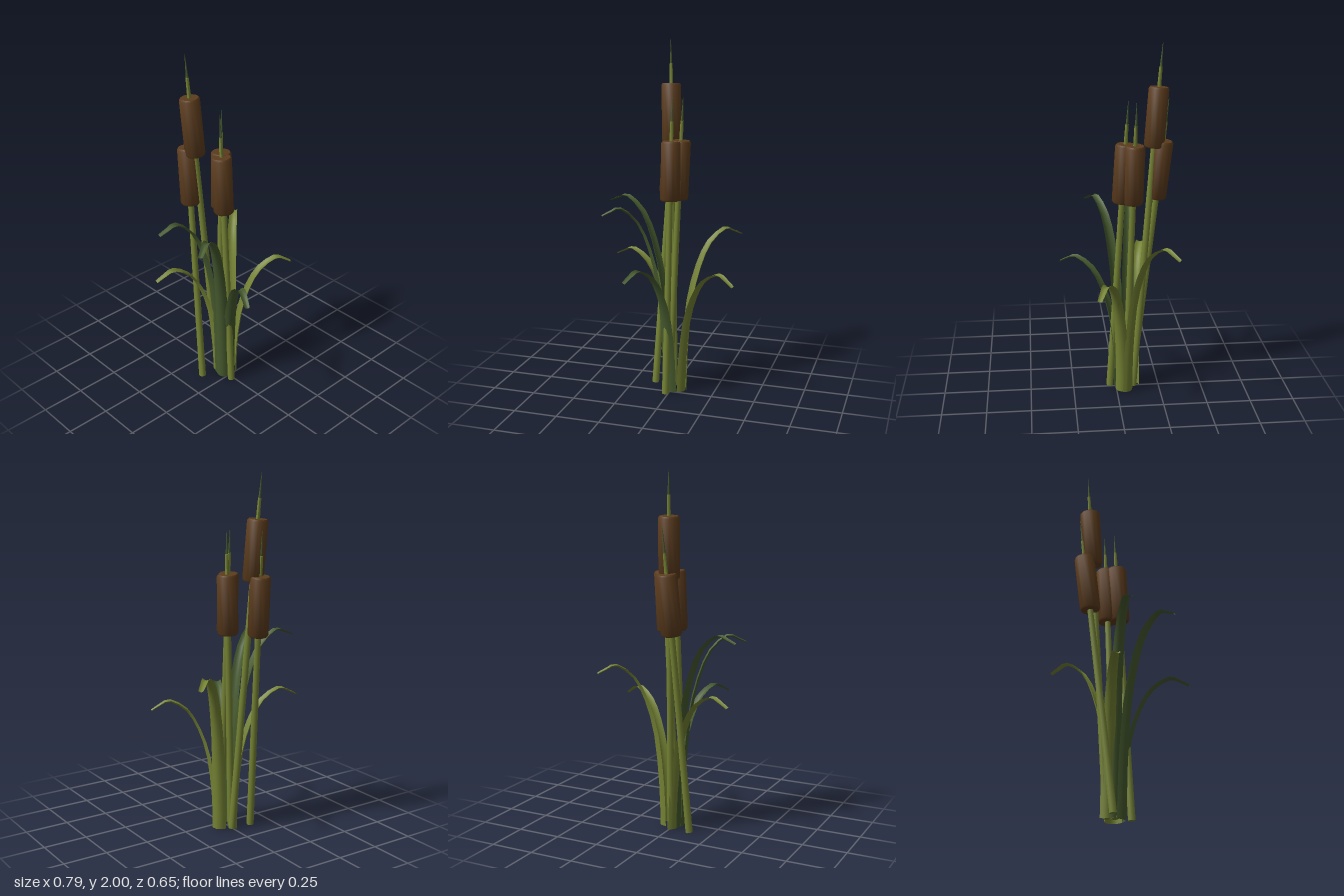
import * as THREE from 'three';
import { toCreasedNormals } from 'three/addons/utils/BufferGeometryUtils.js';

function material(name, color, side) {
  const m = new THREE.MeshStandardMaterial({ color, side });
  m.name = name;
  return m;
}
const olive = material('olive green', 0x758334, THREE.DoubleSide);
const dark = material('dark green', 0x465a2e, THREE.DoubleSide);
const brown = material('seed head brown', 0x5c3c1d, THREE.FrontSide);

const UP = new THREE.Vector3(0, 1, 0);

function lathe(name, points, sides, mat) {
  const profile = points.map(([r, y]) => new THREE.Vector2(r, y));
  const mesh = new THREE.Mesh(toCreasedNormals(new THREE.LatheGeometry(profile, sides), 0.9), mat);
  mesh.name = name;
  return mesh;
}

// A leaning stalk with a dark spike on top and a seed head below it
function createStalk(base, tip) {
  const stalk = new THREE.Group();
  stalk.name = 'cattailStalk';
  const from = new THREE.Vector3(...base);
  const axis = new THREE.Vector3(...tip).sub(from);
  const h = axis.length();
  const headTop = h - 0.24, headBottom = h - 0.572, spikeBase = h - 0.13;

  stalk.add(
    lathe('stem', [
      [0, 0], [0.021, 0], [0.017, headBottom], [0.011, headTop], [0.009, spikeBase], [0, spikeBase],
    ], 8, olive),
    lathe('spike', [[0.007, spikeBase], [0.001, h]], 8, dark),
    lathe('seedHead', [
      [0, headBottom], [0.05, headBottom], [0.057, headBottom + 0.01],
      [0.057, headTop - 0.01], [0.05, headTop], [0, headTop],
    ], 12, brown),
  );
  stalk.position.copy(from);
  stalk.quaternion.setFromUnitVectors(UP, axis.normalize());
  return stalk;
}

// Arching leaf: share of the reach, share of the peak height
const ARCH = [[0, 0], [0.02, 0.25], [0.1, 0.56], [0.25, 0.78], [0.44, 0.925], [0.7, 1]];
const ALONG = 14, ACROSS = 6;

// A leaf is a strip with a gutter-shaped cross-section, narrowing to the tip
function createLeaf([x0, z0], [x1, z1], peak, drop, mat) {
  const reach = Math.hypot(x1 - x0, z1 - z0);
  const dx = (x1 - x0) / reach, dz = (z1 - z0) / reach;
  const curve = new THREE.SplineCurve([
    ...ARCH.map(([u, v]) => new THREE.Vector2(u * reach, v * peak)),
    new THREE.Vector2(reach * 0.85, peak - drop * 0.35),
    new THREE.Vector2(reach, peak - drop),
  ]);
  const positions = [], index = [];
  for (let i = 0; i <= ALONG; i++) {
    const p = curve.getPoint(i / ALONG);
    const t = i === 0 ? new THREE.Vector2(0, 1) : curve.getTangent(i / ALONG);
    const halfWidth = THREE.MathUtils.lerp(0.04, 0.014, (p.x / reach + i / ALONG) / 2);
    for (let j = 0; j <= ACROSS; j++) {
      const s = (j / ACROSS) * 2 - 1;
      const depth = halfWidth * 0.5 * (0.5 - s * s);
      const out = p.x + t.y * depth;
      const side = s * halfWidth;
      positions.push(x0 + dx * out - dz * side, p.y - t.x * depth, z0 + dz * out + dx * side);
      if (i < ALONG && j < ACROSS) {
        const a = i * (ACROSS + 1) + j, b = a + ACROSS + 1;
        index.push(a, a + 1, b, a + 1, b + 1, b);
      }
    }
  }
  const geometry = new THREE.BufferGeometry();
  geometry.setAttribute('position', new THREE.Float32BufferAttribute(positions, 3));
  geometry.setIndex(index);
  geometry.computeVertexNormals();
  const leaf = new THREE.Mesh(geometry, mat);
  leaf.name = 'leaf';
  return leaf;
}

export function createModel() {
  const model = new THREE.Group();
  model.name = 'cattails';

  // Stalks: base, tip
  const stalks = [
    [[0, 0, -0.1], [-0.072, 2, -0.26]],
    [[-0.12, 0, -0.11], [-0.053, 1.7, -0.295]],
    [[-0.015, 0, 0.035], [-0.005, 1.7, -0.068]],
    [[-0.02, 0, -0.06], [0.045, 1.7, -0.108]],
  ];
  stalks.forEach(([base, tip]) => model.add(createStalk(base, tip)));

  // Leaves: base x z, tip x z, peak height, drop of the tip, colour
  const leaves = [
    [[0.07, -0.07], [0.34, -0.31], 0.94, 0.04, olive],
    [[0.07, -0.027], [0.39, 0.12], 0.755, 0.05, olive],
    [[0, -0.005], [-0.162, 0.315], 0.78, 0.045, dark],
    [[-0.035, -0.02], [-0.345, 0.148], 1.095, 0.037, dark],
    [[-0.03, -0.07], [-0.392, -0.127], 1.125, 0.033, dark],
    [[-0.02, -0.1], [-0.377, -0.19], 0.8, 0.043, olive],
  ];
  leaves.forEach((leaf) => model.add(createLeaf(...leaf)));

  return model;
}
